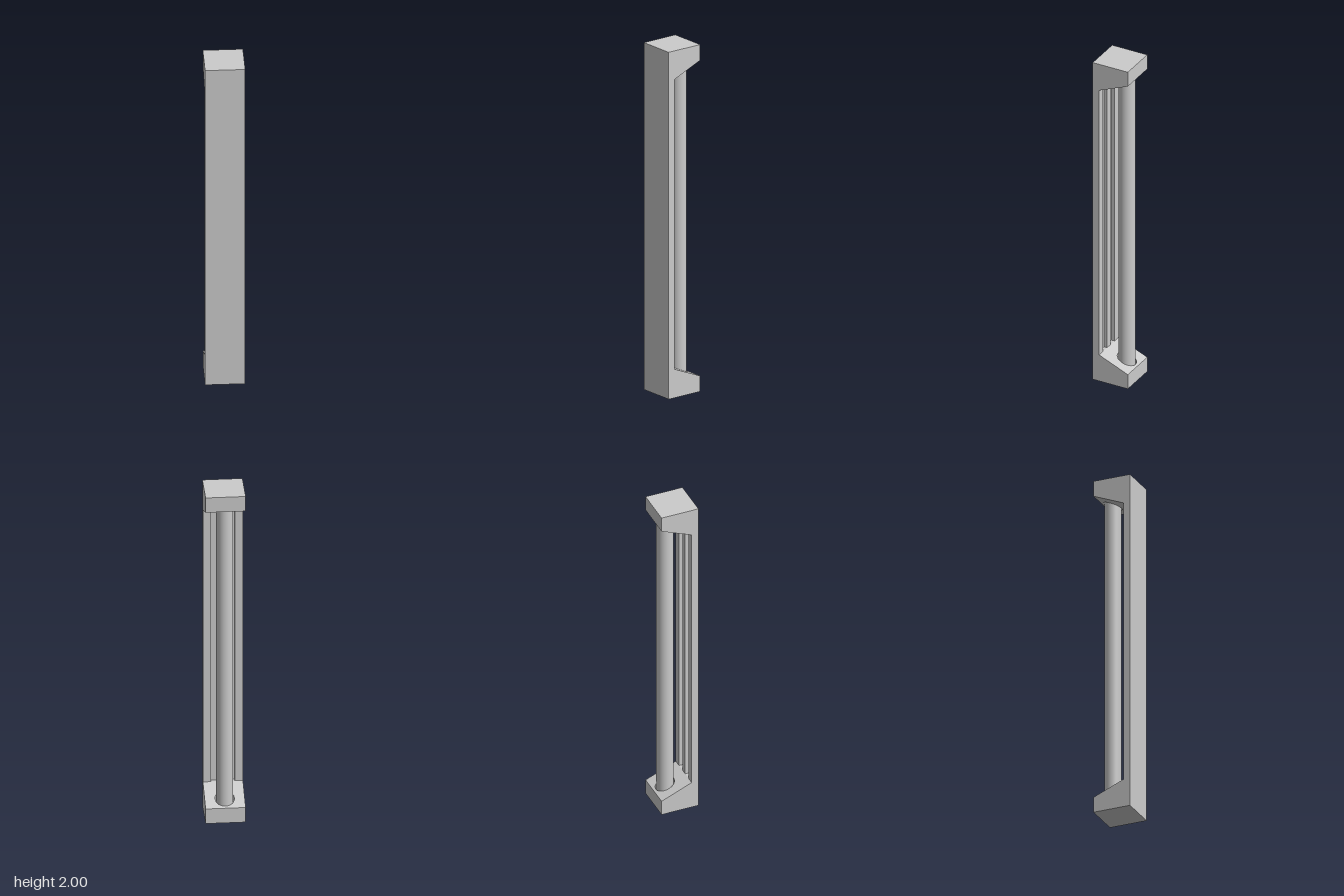
import * as THREE from 'three';
import { toCreasedNormals } from 'three/addons/utils/BufferGeometryUtils.js';

const HALF = 0.11;      // half width and half depth
const HEIGHT = 2;
const SPINE_BACK = 0.07; // z of the spine's rear face
const LOW = 0.09;       // end block height at the back
const HIGH = 0.165;     // end block height where it meets the spine
const FLOOR = 0.06;     // bottom of the rod socket
const ROD_Z = -0.043;

const material = new THREE.MeshStandardMaterial({ color: 0xcccccc });

function addMesh(parent, name, geometry) {
  const mesh = new THREE.Mesh(geometry, material);
  mesh.name = name;
  parent.add(mesh);
  return mesh;
}

// Shape from plan points [x, z]
const planShape = (pts) => new THREE.Shape(pts.map(([x, z]) => new THREE.Vector2(x, -z)));

// Extrude a plan shape upward from y0 to y1
function extrudeUp(shape, y0, y1) {
  const geo = new THREE.ExtrudeGeometry(shape, { depth: y1 - y0, bevelEnabled: false, curveSegments: 24 });
  return geo.rotateX(-Math.PI / 2).translate(0, y0, 0);
}

function boxAt(w, h, d, x, y, z) {
  return new THREE.BoxGeometry(w, h, d).translate(x, y, z);
}

// End block: base, front fill and a sloped part with a round socket
function createEndBlock(name) {
  const block = new THREE.Group();
  block.name = name;
  addMesh(block, 'base', boxAt(2 * HALF, FLOOR, 2 * HALF, 0, FLOOR / 2, 0));
  addMesh(block, 'frontFill', boxAt(2 * HALF, HIGH - FLOOR, HALF - SPINE_BACK,
    0, (HIGH + FLOOR) / 2, (HALF + SPINE_BACK) / 2));

  const shape = planShape([[-HALF, SPINE_BACK], [HALF, SPINE_BACK], [HALF, -HALF], [-HALF, -HALF]]);
  shape.holes.push(new THREE.Path().absarc(0, -ROD_Z, 0.053, 0, Math.PI * 2, true));
  const geo = extrudeUp(shape, FLOOR, HIGH);
  // Tilt the upper face down toward the back
  const pos = geo.attributes.position;
  for (let i = 0; i < pos.count; i++) {
    if (pos.getY(i) > FLOOR + 0.01) {
      const t = (pos.getZ(i) + HALF) / (SPINE_BACK + HALF);
      pos.setY(i, LOW + t * (HIGH - LOW));
    }
  }
  addMesh(block, 'slopedSocket', toCreasedNormals(geo, 0.6));
  return block;
}

export function createModel() {
  const model = new THREE.Group();
  model.name = 'barHandle';

  // Front spine with two grooves along its rear face
  const groove = SPINE_BACK + 0.02;
  const spine = [[-HALF, HALF], [HALF, HALF], [HALF, SPINE_BACK]];
  for (const [a, b] of [[0.065, 0.02], [-0.02, -0.065]]) {
    spine.push([a, SPINE_BACK], [a, groove], [b, groove], [b, SPINE_BACK]);
  }
  spine.push([-HALF, SPINE_BACK]);
  addMesh(model, 'spine', extrudeUp(planShape(spine), HIGH, HEIGHT - HIGH));

  // Matching blocks at both ends
  model.add(createEndBlock('bottomBlock'));
  const top = createEndBlock('topBlock');
  top.rotation.z = Math.PI;
  top.position.y = HEIGHT;
  model.add(top);

  // Round rod held between the sockets
  addMesh(model, 'rod', new THREE.CylinderGeometry(0.047, 0.047, HEIGHT - 2 * FLOOR, 48)
    .translate(0, HEIGHT / 2, ROD_Z));

  return model;
}
